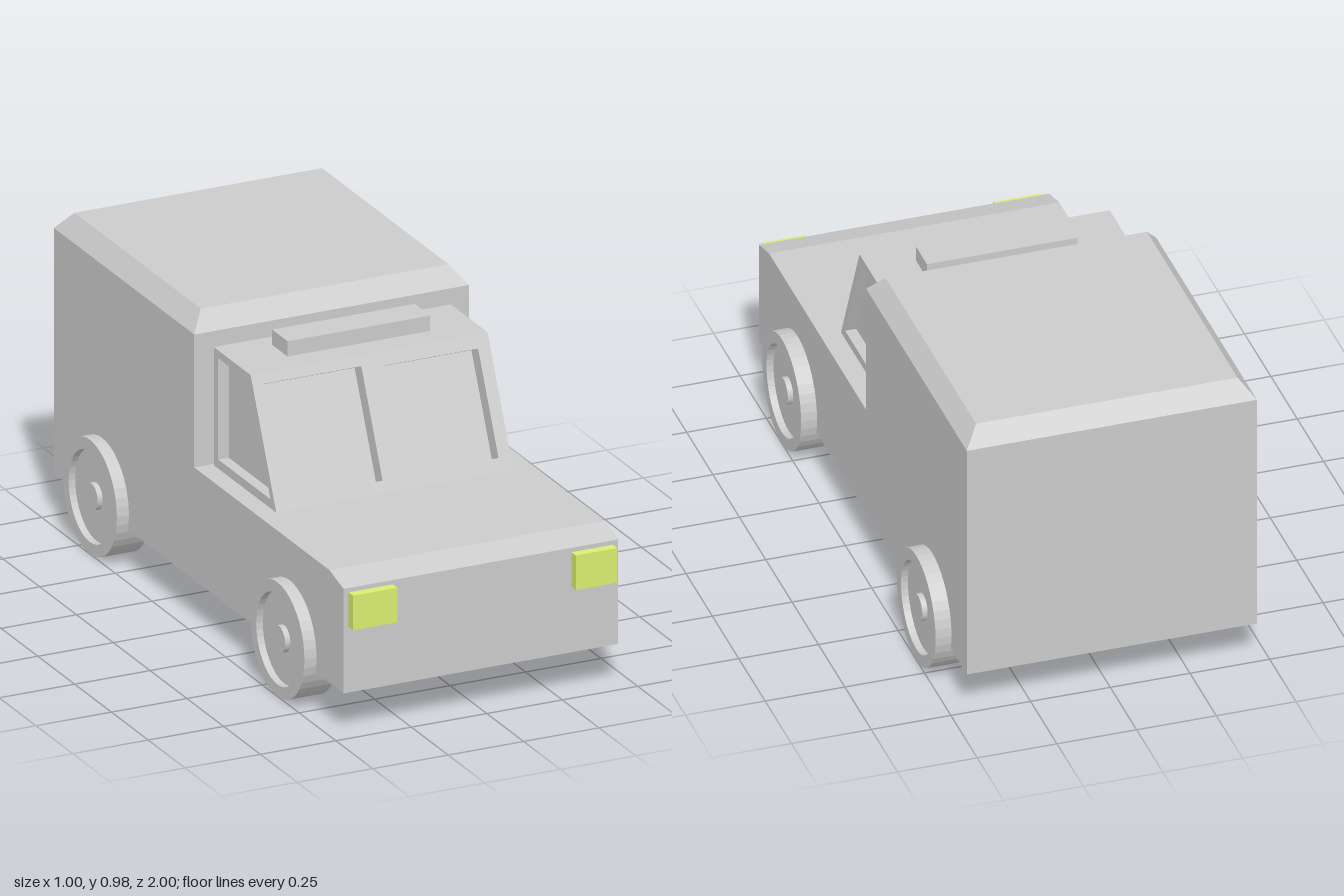
import * as THREE from 'three';

const grey = new THREE.MeshStandardMaterial({ color: 0xcccccc, flatShading: true });
const yellow = new THREE.MeshStandardMaterial({ color: 0xd8ee70, flatShading: true });

const points = (list) => list.map(([a, b]) => new THREE.Vector2(a, b));

function add(parent, name, geometry, material = grey) {
  const mesh = new THREE.Mesh(geometry, material);
  mesh.name = name;
  parent.add(mesh);
  return mesh;
}

// Extrudes a side profile of [z, y] points across the width from x0 to x1
function sideExtrude(profile, x0, x1, hole) {
  const shape = new THREE.Shape(points(profile));
  if (hole) shape.holes.push(new THREE.Path(points(hole)));
  return new THREE.ExtrudeGeometry(shape, { depth: x1 - x0, bevelEnabled: false })
    .rotateY(-Math.PI / 2).translate(x1, 0, 0);
}

// Box given by its two opposite corners
function boxBetween([x0, y0, z0], [x1, y1, z1]) {
  return new THREE.BoxGeometry(x1 - x0, y1 - y0, z1 - z0)
    .translate((x0 + x1) / 2, (y0 + y1) / 2, (z0 + z1) / 2);
}

const rectangle = (x0, y0, x1, y1) => [[x0, y0], [x1, y0], [x1, y1], [x0, y1]];

function buildCab() {
  const cab = new THREE.Group();
  cab.name = 'cab';
  const left = 0.385, right = -0.4, panel = 0.035, recess = 0.05;
  const base = 0.495, top = 0.875, frontZ = 0.39, roofZ = 0.215, backZ = -0.035;
  const slope = Math.hypot(top - base, frontZ - roofZ);
  const tilt = Math.atan2(frontZ - roofZ, top - base);
  const cos = Math.cos(tilt), sin = Math.sin(tilt);

  // Solid core, set back behind the window frames
  add(cab, 'cabCore', sideExtrude([
    [backZ, base], [frontZ - recess / cos, base],
    [roofZ - recess * cos, top - recess * sin], [roofZ, top], [backZ, top],
  ], right + panel, left - panel));

  // Side panels with window openings
  const outline = [[backZ, base], [frontZ, base], [roofZ, top], [backZ, top]];
  const opening = [[-0.005, 0.525], [0.35, 0.525], [0.2, 0.85], [-0.005, 0.85]];
  add(cab, 'rightWindowFrame', sideExtrude(outline, right, right + panel, opening));
  add(cab, 'leftWindowFrame', sideExtrude(outline, left - panel, left, opening));

  // Sloping windscreen frame with two openings
  const frame = new THREE.Shape(points(rectangle(right + panel, 0, left - panel, slope)));
  const along = (y) => (y - base) / cos;
  for (const [x0, y0, x1, y1] of [[-0.364, 0.53, -0.04, 0.845], [0.032, 0.535, 0.345, 0.836]]) {
    frame.holes.push(new THREE.Path(points(rectangle(x0, along(y0), x1, along(y1)))));
  }
  add(cab, 'windscreenFrame', new THREE.ExtrudeGeometry(frame, { depth: recess, bevelEnabled: false })
    .translate(0, 0, -recess).rotateX(-tilt).translate(0, base, frontZ));

  add(cab, 'lightBar', boxBetween([-0.236, top, 0.025], [0.236, 0.924, 0.13]));
  return cab;
}

// Wheel turned about the x axis: tyre, sunken rim and raised hub on the outer side
function buildWheel(name, side, z) {
  const profile = points([
    [0, -0.055], [0.183, -0.055], [0.183, 0.055], [0.145, 0.055],
    [0.145, 0.033], [0.042, 0.033], [0.042, 0.05], [0, 0.05],
  ]);
  const geometry = new THREE.LatheGeometry(profile, 40).rotateZ(-side * Math.PI / 2);
  const wheel = new THREE.Mesh(geometry, grey);
  wheel.name = name;
  wheel.position.set(side * 0.445, 0.184, z);
  return wheel;
}

export function createModel() {
  const model = new THREE.Group();
  model.name = 'van';
  const xMin = -0.46, xMax = 0.45;

  // Body: bonnet, floor and cargo box in one profile
  add(model, 'body', sideExtrude([
    [-1, 0.135], [0.97, 0.135], [0.97, 0.47], [0.875, 0.496],
    [-0.045, 0.496], [-0.045, 0.922], [-1, 0.922],
  ], xMin, xMax));

  // Cargo roof: a box drawn in at the top
  const roof = boxBetween([xMin, 0.922, -1], [xMax, 0.98, -0.045]);
  const p = roof.attributes.position;
  for (let i = 0; i < p.count; i++) {
    if (p.getY(i) < 0.95) continue;
    p.setX(i, p.getX(i) > 0 ? xMax - 0.045 : xMin + 0.045);
    p.setZ(i, p.getZ(i) > -0.5 ? -0.093 : -0.952);
  }
  roof.computeVertexNormals();
  add(model, 'cargoRoof', roof);

  model.add(buildCab());

  // Headlights
  add(model, 'rightHeadlight', boxBetween([-0.443, 0.345, 0.96], [-0.296, 0.456, 1]), yellow);
  add(model, 'leftHeadlight', boxBetween([0.295, 0.345, 0.96], [0.432, 0.456, 1]), yellow);

  // Wheels
  for (const [sideName, side] of [['Left', 1], ['Right', -1]]) {
    model.add(buildWheel('front' + sideName + 'Wheel', side, 0.603));
    model.add(buildWheel('rear' + sideName + 'Wheel', side, -0.672));
  }
  return model;
}
